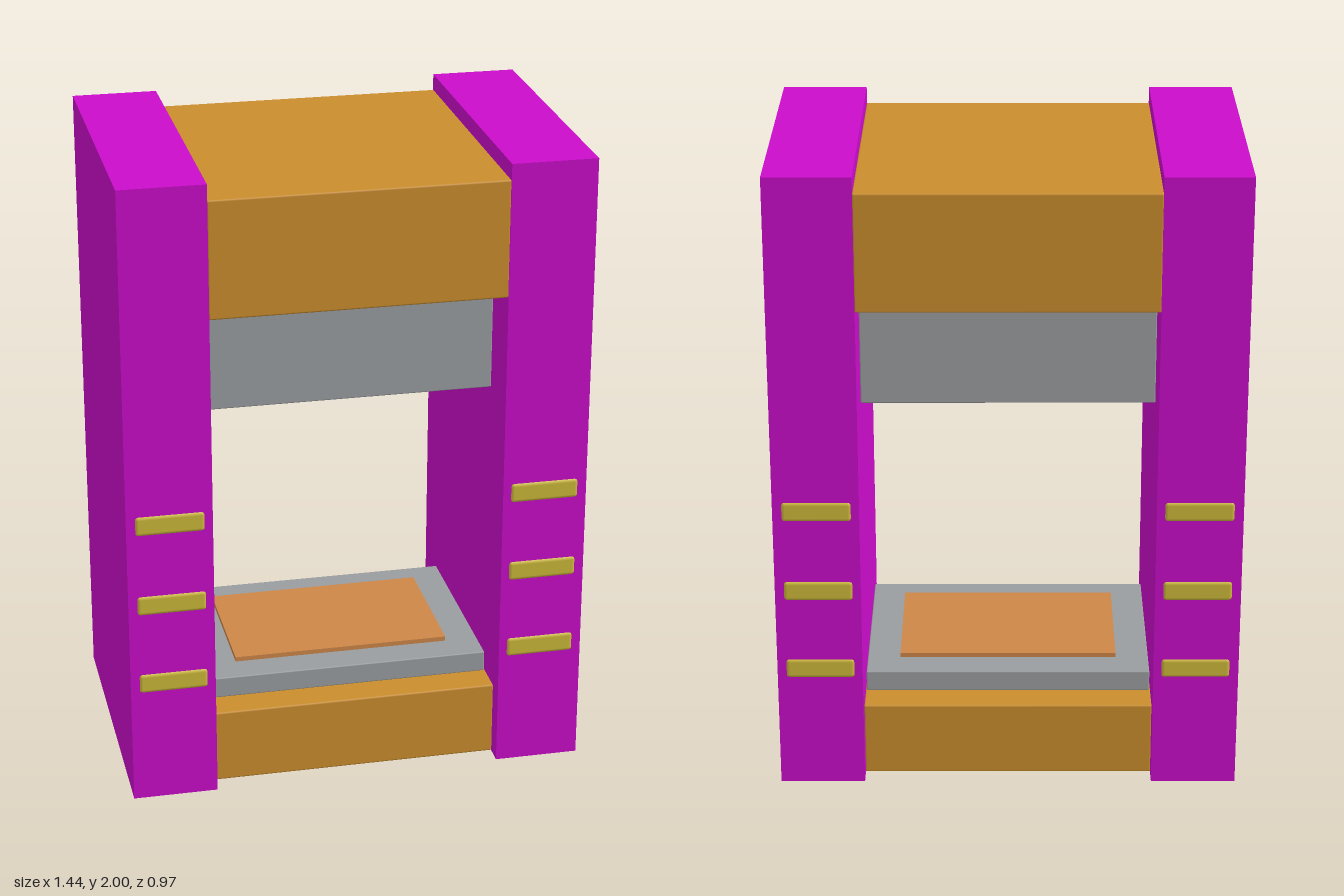
import * as THREE from 'three';
import { RoundedBoxGeometry } from 'three/addons/geometries/RoundedBoxGeometry.js';

const material = (name, color) => new THREE.MeshStandardMaterial({ name, color });

export function createModel() {
  const magenta = material('magenta', 0xc90cc9);
  const orange = material('orange', 0xc98d2d);
  const steel = material('steel grey', 0x9a9da0);
  const gold = material('gold', 0xccb83a);
  const copper = material('copper', 0xcc8648);

  const press = new THREE.Group();
  press.name = 'press';

  const add = (name, geometry, mat, x, y, z) => {
    const mesh = new THREE.Mesh(geometry, mat);
    mesh.name = name;
    mesh.position.set(x, y, z);
    press.add(mesh);
    return mesh;
  };
  // Block centred on x and z, spanning y0 to y1, with an optional small edge radius
  const block = (name, mat, w, y0, y1, d, r = 0, x = 0, z = 0) => {
    const h = y1 - y0;
    const geometry = r ? new RoundedBoxGeometry(w, h, d, 2, r) : new THREE.BoxGeometry(w, h, d);
    return add(name, geometry, mat, x, (y0 + y1) / 2, z);
  };

  // Fixed frame: crown on top, base below
  block('crown', orange, 0.91, 1.58, 1.95, 0.95, 0.006);
  block('base', orange, 0.91, 0, 0.24, 0.84, 0.006);

  // Moving ram and the bed with its work plate
  block('ram', steel, 0.9, 1.23, 1.55, 0.64, 0.004);
  block('bed', steel, 0.9, 0.24, 0.308, 0.64, 0.004);
  block('workPlate', copper, 0.69, 0.305, 0.323, 0.44);

  for (const [side, s] of [['left', 1], ['right', -1]]) {
    // Side columns
    block(side + 'Column', magenta, 0.265, 0, 2, 0.956, 0, s * 0.5855);

    // Piston rod between crown and ram
    add(side + 'PistonRod', new THREE.CylinderGeometry(0.045, 0.045, 0.07, 32), steel, s * 0.265, 1.565, 0);

    // Rounded gold bars on the front and back of each column
    for (const y of [0.403, 0.67, 0.937]) {
      for (const [face, f] of [['Front', 1], ['Back', -1]]) {
        block(side + face + 'Bar', gold, 0.216, y - 0.033, y + 0.033, 0.03, 0.012, s * 0.584, f * 0.468);
      }
    }
  }
  return press;
}
